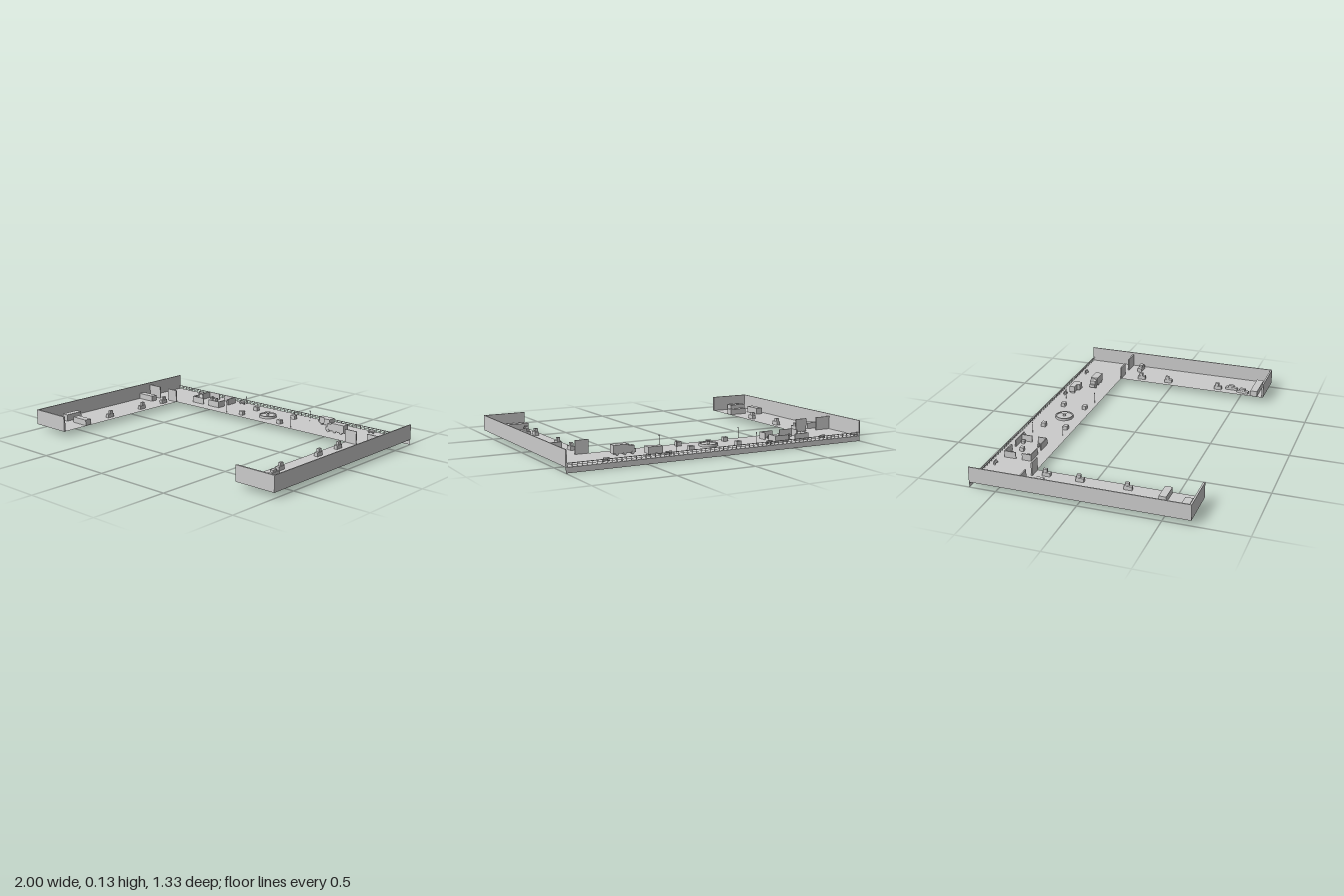
import * as THREE from 'three';

export function createModel() {
  const root = new THREE.Group();
  const mat = new THREE.MeshStandardMaterial({ color: 0xcccccc, side: THREE.DoubleSide, flatShading: true });
  const smooth = new THREE.MeshStandardMaterial({ color: 0xcccccc });
  const F = 0.033; // deck level

  const add = (name, geo, x = 0, y = 0, z = 0, parent = root, m = mat) => {
    const mesh = new THREE.Mesh(geo, m);
    mesh.name = name;
    mesh.position.set(x, y, z);
    parent.add(mesh);
    return mesh;
  };
  // box given by its plan limits and its bottom and top
  const block = (name, x0, x1, z0, z1, top, bottom = F, parent = root) =>
    add(name, new THREE.BoxGeometry(x1 - x0, top - bottom, z1 - z0),
      (x0 + x1) / 2, (bottom + top) / 2, (z0 + z1) / 2, parent);
  const group = (name, x, y, z, turn = 0) => {
    const g = new THREE.Group();
    g.name = name;
    g.position.set(x, y, z);
    g.rotation.y = turn;
    root.add(g);
    return g;
  };

  // U-shaped deck
  const plan = new THREE.Shape([
    [-1, -0.667], [1, -0.667], [1, 0.667], [0.727, 0.667], [0.727, -0.357],
    [-0.73, -0.357], [-0.73, 0.667], [-1, 0.667],
  ].map(([x, z]) => new THREE.Vector2(x, -z)));
  add('deck', new THREE.ShapeGeometry(plan).rotateX(-Math.PI / 2), 0, F, 0);
  // thin fascia hanging below the rear edge
  add('rearFascia', new THREE.PlaneGeometry(2, F), 0, F / 2, -0.666);

  // outer walls, end walls and the screens between wings and rear deck
  for (const s of [-1, 1]) {
    const inner = s < 0 ? 0.73 : 0.727;
    const span = (name, a, b, z0, z1, top) =>
      block(name, Math.min(s * a, s * b), Math.max(s * a, s * b), z0, z1, top);
    span('sideWall', 0.993, 1, -0.667, 0.667, 0.131);
    span('endWall', inner, 0.993, 0.656, 0.667, 0.131);
    span('wingScreen', inner, 0.81, -0.361, -0.353, 0.115);
    span('wingScreen', 0.89, 0.993, -0.361, -0.353, 0.115);
  }

  // rear railing
  block('railTop', -0.993, 0.993, -0.664, -0.657, 0.056, 0.053);
  block('railMiddle', -0.993, 0.993, -0.662, -0.659, 0.045, 0.043);
  for (let i = 0; i <= 66; i++) {
    const x = -0.99 + i * 0.03;
    block('railPost', x - 0.0015, x + 0.0015, -0.662, -0.659, 0.053);
  }

  // benches along the railing
  for (const x of [-0.74, -0.345, 0.345, 0.74]) {
    block('benchSeat', x - 0.02, x + 0.02, -0.628, -0.616, 0.045, 0.04);
    block('benchBack', x - 0.02, x + 0.02, -0.628, -0.625, 0.056, 0.045);
    for (const s of [-1, 1]) block('benchLeg', x + s * 0.016 - 0.002, x + s * 0.016 + 0.002, -0.627, -0.617, 0.04);
  }

  // fountain
  const basin = [[0, 0], [0.058, 0], [0.058, 0.016], [0.051, 0.016], [0.051, 0.01], [0, 0.01]]
    .map(([r, y]) => new THREE.Vector2(r, y));
  add('fountainBasin', new THREE.LatheGeometry(basin, 32), 0, F, -0.487);
  add('fountainColumn', new THREE.CylinderGeometry(0.006, 0.009, 0.02, 16), 0, 0.052, -0.487, root, smooth);
  add('fountainBowl', new THREE.CylinderGeometry(0.02, 0.01, 0.006, 24), 0, 0.062, -0.487);

  // planters and lamp posts around the fountain
  for (const s of [-1, 1]) {
    for (const z of [-0.56, -0.41])
      block('planter', s * 0.163 - 0.016, s * 0.163 + 0.016, z - 0.014, z + 0.014, 0.059);
    for (const z of [-0.588, -0.382]) {
      add('lampPost', new THREE.CylinderGeometry(0.0015, 0.0015, 0.068, 8), s * 0.277, 0.067, z, root, smooth);
      add('lampHead', new THREE.SphereGeometry(0.004, 10, 8), s * 0.277, 0.102, z, root, smooth);
    }
  }

  // walled enclosure, open in the middle of each side
  const [ex0, ex1, ez0, ez1] = [-0.645, -0.4, -0.61, -0.435];
  for (const z of [ez0, ez1 - 0.006]) {
    block('enclosureWall', ex0, -0.545, z, z + 0.006, 0.075);
    block('enclosureWall', -0.495, ex1, z, z + 0.006, 0.075);
  }
  for (const x of [ex0, ex1 - 0.006]) {
    block('enclosureWall', x, x + 0.006, ez0, -0.535, 0.075);
    block('enclosureWall', x, x + 0.006, -0.495, ez1, 0.075);
  }
  block('enclosureCrate', -0.544, -0.518, -0.556, -0.532, 0.058);
  block('enclosureCrate', -0.447, -0.427, -0.59, -0.57, 0.053);
  for (const [x, z] of [[-0.595, -0.584], [-0.595, -0.475], [-0.45, -0.47]]) {
    block('enclosureStool', x - 0.015, x + 0.015, z - 0.004, z + 0.004, 0.045);
    block('enclosureStoolBack', x - 0.004, x + 0.004, z - 0.007, z + 0.007, 0.052);
  }

  // stall with a cut corner, raised on feet
  const stall = new THREE.Shape([[0.37, 0.603], [0.37, 0.565], [0.41, 0.565], [0.42, 0.547], [0.465, 0.547], [0.465, 0.603]]
    .map(([x, y]) => new THREE.Vector2(x, y)));
  add('stallBody', new THREE.ExtrudeGeometry(stall, { depth: 0.04, bevelEnabled: false }).rotateX(-Math.PI / 2), 0, 0.045, 0);
  for (const x of [0.38, 0.45]) block('stallFoot', x, x + 0.01, -0.6, -0.57, 0.045);

  // truck
  block('truckCargo', 0.54, 0.638, -0.51, -0.462, 0.095, 0.044);
  block('truckCab', 0.505, 0.54, -0.506, -0.466, 0.085, 0.042);
  block('truckNose', 0.492, 0.505, -0.504, -0.468, 0.062, 0.042);
  for (const x of [0.515, 0.565, 0.615])
    for (const z of [-0.505, -0.467])
      add('truckWheel', new THREE.CylinderGeometry(0.009, 0.009, 0.008, 16).rotateX(Math.PI / 2), x, F + 0.009, z);

  // counters and cabinets in the wings
  block('counter', -0.993, -0.87, -0.295, -0.25, 0.07);
  block('cabinet', -0.955, -0.91, 0.37, 0.49, 0.075);
  block('counter', -0.86, -0.737, 0.436, 0.48, 0.07);
  block('cabinet', -0.945, -0.83, 0.582, 0.628, 0.075);
  block('deskBody', 0.885, 0.968, -0.288, -0.258, 0.058);
  block('deskTopBox', 0.915, 0.948, -0.284, -0.262, 0.073);
  block('cabinet', 0.73, 0.937, 0.577, 0.624, 0.07);

  // small carts, two stacked boxes each
  const carts = [
    [-0.78, -0.275], [-0.78, -0.065], [-0.78, 0.23],
    [0.775, -0.215], [0.775, -0.02], [0.775, 0.34],
  ];
  for (const [x, z] of carts) {
    const g = group('cart', x, F, z);
    block('cartBase', -0.012, 0.012, -0.025, 0.025, 0.024, 0, g);
    block('cartBox', -0.009, 0.009, -0.018, 0.006, 0.044, 0.024, g);
  }
  // longer carts near the end of the left wing
  for (const [x, z, turn] of [[0.8, 0.43, 0], [0.767, 0.518, -0.2]]) {
    const g = group('longCart', x, F, z, turn);
    block('longCartBase', -0.013, 0.013, -0.04, 0.04, 0.016, 0, g);
    block('longCartBox', -0.011, 0.011, -0.02, 0.018, 0.03, 0.016, g);
  }
  return root;
}
